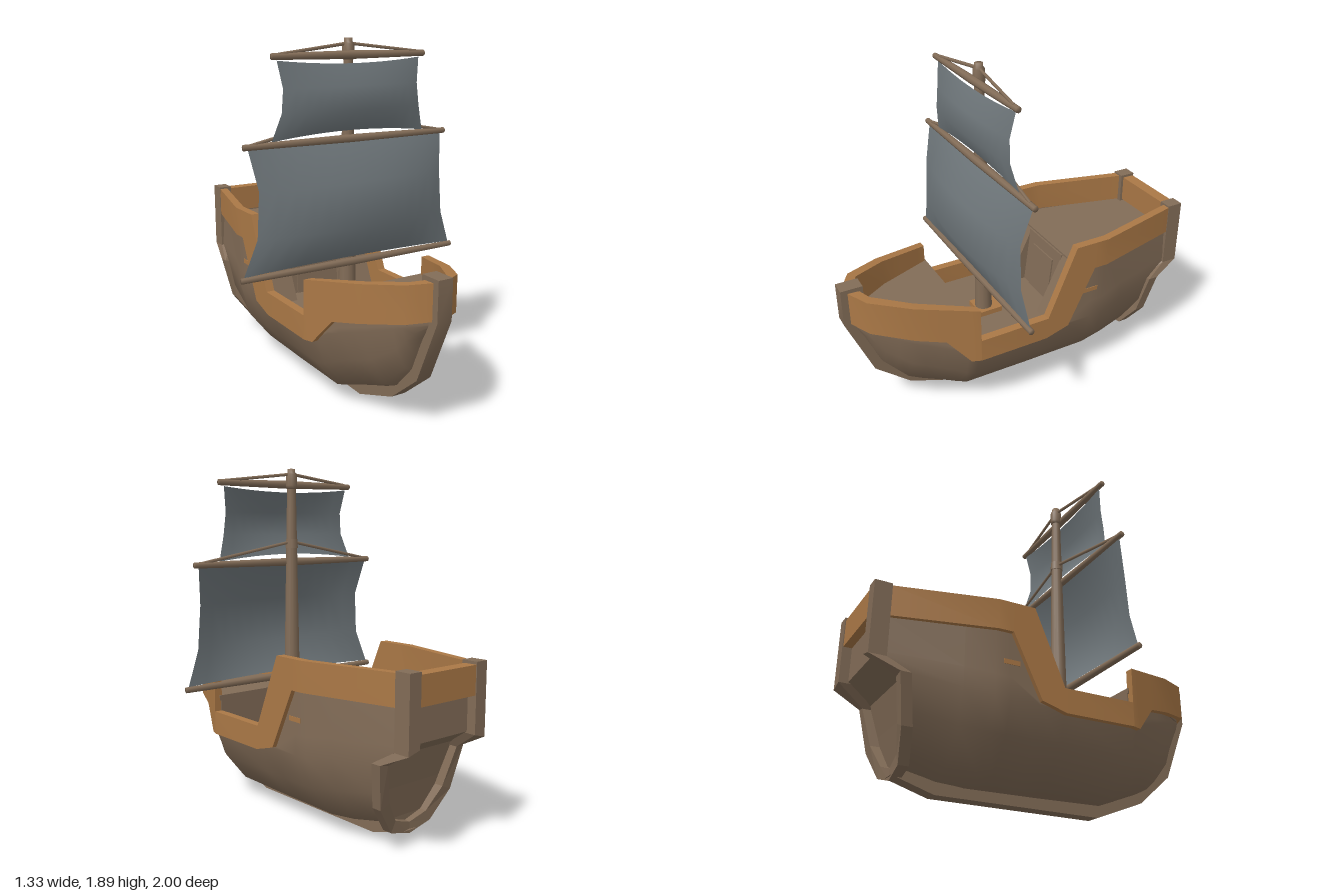
import * as THREE from 'three';
import { toCreasedNormals } from 'three/addons/utils/BufferGeometryUtils.js';

const paint = (name, color) => {
  const m = new THREE.MeshStandardMaterial({ color, side: THREE.DoubleSide });
  m.name = name;
  return m;
};

// piecewise linear lookup in a table of [key, value]
function lerpTable(t, k) {
  if (k <= t[0][0]) return t[0][1];
  for (let i = 1; i < t.length; i++) {
    const [a, va] = t[i - 1], [b, vb] = t[i];
    if (k <= b) return va + (vb - va) * (k - a) / (b - a);
  }
  return t[t.length - 1][1];
}

// skin a row of cross-sections; closed sections get end caps
function loft(sections, { closed = false, flat = false } = {}) {
  const n = sections[0].length, idx = [];
  for (let i = 0; i < sections.length - 1; i++)
    for (let j = 0; j < (closed ? n : n - 1); j++) {
      const a = i * n + j, b = i * n + (j + 1) % n, c = a + n, d = b + n;
      idx.push(a, b, d, a, d, c);
    }
  if (closed)
    for (let j = 1; j < n - 1; j++) {
      const e = (sections.length - 1) * n;
      idx.push(0, j + 1, j, e, e + j, e + j + 1);
    }
  let g = new THREE.BufferGeometry();
  g.setAttribute('position', new THREE.Float32BufferAttribute(sections.flat(2), 3));
  g.setIndex(idx);
  if (flat) g = g.toNonIndexed();
  g.computeVertexNormals();
  return g;
}

// side profile of [z, y] points given a width along x
function prism(profile, width, x = 0) {
  const s = new THREE.Shape(profile.map(p => new THREE.Vector2(...p)));
  return new THREE.ExtrudeGeometry(s, { depth: width, bevelEnabled: false })
    .translate(0, 0, -width / 2).rotateY(-Math.PI / 2).translate(x, 0, 0);
}

// symmetric deck board from half outline of [x, z] points
function deckBoard(half, y) {
  const pts = [...half, ...half.map(([x, z]) => [-x, z]).reverse()];
  const s = new THREE.Shape(pts.map(([x, z]) => new THREE.Vector2(x, -z)));
  return new THREE.ExtrudeGeometry(s, { depth: 0.03, bevelEnabled: false })
    .rotateX(-Math.PI / 2).translate(0, y - 0.03, 0);
}

function rod(a, b, r) {
  const A = new THREE.Vector3(...a), B = new THREE.Vector3(...b), d = B.clone().sub(A);
  const g = new THREE.CylinderGeometry(r, r, d.length(), 6);
  g.applyQuaternion(new THREE.Quaternion().setFromUnitVectors(new THREE.Vector3(0, 1, 0), d.normalize()));
  return g.translate(...A.add(B).multiplyScalar(0.5).toArray());
}

// turned spar from [radius, height] points
const turned = (pts, sides) => new THREE.LatheGeometry(pts.map(p => new THREE.Vector2(...p)), sides);

const box = (w, h, d, x, y, z) => new THREE.BoxGeometry(w, h, d).translate(x, y, z);

export function createModel() {
  const wood = paint('brown wood', 0x826c57);
  const trim = paint('orange wood', 0xaa7846);
  const cloth = paint('grey sailcloth', 0x6f777b);
  const ship = new THREE.Group();
  ship.name = 'sailingShip';
  const add = (name, geo, mat) => {
    const m = new THREE.Mesh(geo, mat);
    m.name = name;
    ship.add(m);
  };

  // plan and sheer lines, keyed by z
  const planX = [[-0.92, 0.265], [-0.4, 0.395], [0.38, 0.395], [0.7, 0.275], [0.9, 0.155], [0.97, 0.03]];
  const railTop = [[-0.92, 0.93], [-0.2, 0.93], [-0.03, 0.53], [0.379, 0.53], [0.381, 0.72], [0.97, 0.81]];
  const railBottom = [[-0.92, 0.77], [-0.32, 0.77], [-0.16, 0.44], [-0.02, 0.4], [0.43, 0.4], [0.55, 0.54], [0.97, 0.62]];
  const hullBottom = [[-0.73, 0.1], [-0.5, 0.05], [0.37, 0.05], [0.69, 0.165], [0.82, 0.31], [0.9, 0.51], [0.94, 0.58]];

  // hull: half sections from keel to gunwale, mirrored
  const inset = [[0.4, 0.026], [0.6, 0.04], [0.94, 0.045]];
  const halfSection = z => {
    const b = lerpTable(hullBottom, z), w = Math.max(0.02, lerpTable(planX, z) - lerpTable(inset, z));
    const top = lerpTable(railBottom, z) + 0.025;
    const turn = Math.min(top - 0.005, lerpTable([[-0.73, 0.5], [-0.4, 0.43], [0.38, 0.42], [0.95, 0.6]], z));
    const h = turn - b;
    return [[0, b, z], [w * 0.52, b + h * 0.13, z], [w * 0.87, b + h * 0.56, z],
      [w, turn, z], [w, turn + (top - turn) * 0.3, z], [w, top, z]];
  };
  const sternHalf = halfSection(-0.73);
  [-0.73, -0.735, -0.77, -0.81, -0.95, -0.95].forEach((z, i) => {
    sternHalf[i][2] = z;
    if (i > 2) sternHalf[i][0] = [0.275, 0.25, 0.235][i - 3];
  });
  const whole = h => [...h.slice(1).reverse().map(([x, y, z]) => [-x, y, z]), ...h];
  const zs = [-0.55, -0.4, -0.32, -0.16, -0.02, 0.38, 0.43, 0.49, 0.55, 0.63, 0.7, 0.76, 0.82, 0.86, 0.9, 0.94];
  add('hull', loft([whole(sternHalf), ...zs.map(z => whole(halfSection(z)))]), wood);
  add('transom', loft(sternHalf.map(([x, y, z]) => [[x, y, z], [-x, y, z]]), { flat: true }), wood);

  // keel and stem post in one piece
  add('keel', toCreasedNormals(prism([[1, 0.83], [0.88, 0.83], [0.88, 0.5], [0.8, 0.34], [0.72, 0.22], [0.62, 0.16],
    [0.36, 0.08], [-0.55, 0.08], [-0.72, 0.12], [-0.77, 0.08], [-0.55, 0.01], [0.37, 0], [0.66, 0.11],
    [0.86, 0.28], [1, 0.62]], 0.085), 0.55), wood);

  // stern frame: [outer x, y, inner x, y, back z, depth]
  const frame = [[0, 0.06, 0, 0.12, -0.765, 0.05], [0.14, 0.1, 0.11, 0.155, -0.775, 0.055],
    [0.25, 0.25, 0.19, 0.275, -0.81, 0.055], [0.3, 0.49, 0.245, 0.48, -0.85, 0.055],
    [0.27, 0.56, 0.195, 0.58, -1, 0.09], [0.27, 0.94, 0.195, 0.94, -1, 0.09]];

  for (const s of [1, -1]) {
    const side = s > 0 ? 'left' : 'right';
    add(side + 'SternFrame', loft(frame.map(([x, y, u, v, z, d]) => {
      const q = [[s * x, y, z], [s * u, v, z], [s * u, v, z + d], [s * x, y, z + d]];
      return s > 0 ? q : q.reverse();
    }), { closed: true, flat: true }), wood);

    // bulwark following the sheer and plan lines
    const stations = [-0.92, -0.4, -0.32, -0.2, -0.16, -0.03, -0.02, 0.379, 0.381, 0.43, 0.55, 0.7, 0.9, 0.97];
    add(side + 'Bulwark', toCreasedNormals(loft(stations.map(z => {
      const x = lerpTable(planX, z), lo = lerpTable(railBottom, z), hi = lerpTable(railTop, z);
      const xi = Math.max(0, x - 0.047);
      const zi = z - lerpTable([[0.38, 0], [0.7, 0.02], [0.9, 0.03], [0.97, 0.05]], z);
      const q = [[s * x, lo, z], [s * x, hi, z], [s * xi, hi, zi], [s * xi, lo, zi]];
      return s > 0 ? q : q.reverse();
    }), { closed: true }), 0.55), trim);

    // sloped bulkhead beside the doorway and the small side peg
    add(side + 'Bulkhead', prism([[-0.09, 0.42], [-0.25, 0.755], [-0.4, 0.755], [-0.4, 0.42]], 0.18, s * 0.26), wood);
    add(side + 'Peg', box(0.02, 0.025, 0.09, s * 0.362, 0.617, -0.315), trim);
  }

  // stern rail, decks and walls
  add('sternRail', box(0.4, 0.15, 0.07, 0, 0.85, -0.96), trim);
  add('mainDeck', box(0.71, 0.02, 0.68, 0, 0.41, 0.03), wood);
  add('foreDeck', deckBoard([[0.365, 0.373], [0.245, 0.7], [0.13, 0.88], [0.02, 0.92]], 0.62), wood);
  add('foreWall', box(0.71, 0.19, 0.012, 0, 0.51, 0.379), wood);
  add('aftDeck', deckBoard([[0.235, -0.94], [0.35, -0.4], [0.35, -0.25]], 0.765), wood);
  add('cabinWall', prism([[-0.2, 0.42], [-0.24, 0.755], [-0.4, 0.755], [-0.4, 0.42]], 0.35), wood);
  add('cabinDoor', prism([[-0.194, 0.42], [-0.223, 0.69], [-0.231, 0.69], [-0.202, 0.42]], 0.21), wood);

  // mast
  const mz = 0.17;
  add('mastStep', box(0.14, 0.03, 0.14, 0, 0.435, mz - 0.015), trim);
  add('mast', new THREE.CylinderGeometry(0.024, 0.05, 1.42, 12).translate(0, 1.13, mz), wood);
  add('mastCap', turned([[0, 1.78], [0.028, 1.78], [0.032, 1.8], [0.032, 1.86],
    [0.022, 1.87], [0.022, 1.89], [0, 1.89]], 10).translate(0, 0, mz), wood);
  add('mastBand', new THREE.CylinderGeometry(0.034, 0.036, 0.05, 10).translate(0, 1.48, mz), wood);

  // yards, thickest in the middle, and their slanting stays
  for (const [name, y, z, half] of [['top', 1.805, 0.203, 0.46], ['middle', 1.375, 0.2, 0.62], ['lower', 0.715, 0.235, 0.665]])
    add(name + 'Yard', turned([[0, -half], [0.016, -half], [0.022, 0], [0.016, half], [0, half]], 8)
      .rotateZ(Math.PI / 2).translate(0, y, z), wood);
  for (const s of [1, -1]) {
    add('topStay', rod([0, 1.862, mz], [s * 0.42, 1.815, 0.205], 0.009), wood);
    add('middleStay', rod([0, 1.49, mz], [s * 0.57, 1.385, 0.2], 0.009), wood);
  }

  // sails: rows of [y at edge, y at centre, half width, z at edge, z at centre]
  const sail = rows => loft(rows.map(([ye, yc, w, ze, zc]) =>
    Array.from({ length: 13 }, (_, i) => {
      const u = i / 6 - 1, k = 1 - u * u;
      return [u * w, ye + (yc - ye) * k, ze + (zc - ze) * k];
    })));
  add('topSail', sail([[1.39, 1.42, 0.465, 0.2, 0.205], [1.53, 1.53, 0.42, 0.225, 0.262],
    [1.65, 1.65, 0.408, 0.22, 0.25], [1.785, 1.762, 0.43, 0.2, 0.205]]), cloth);
  add('mainSail', sail([[0.73, 0.745, 0.65, 0.235, 0.24], [0.92, 0.92, 0.578, 0.25, 0.33],
    [1.16, 1.16, 0.562, 0.245, 0.305], [1.36, 1.36, 0.595, 0.2, 0.205]]), cloth);

  return ship;
}
